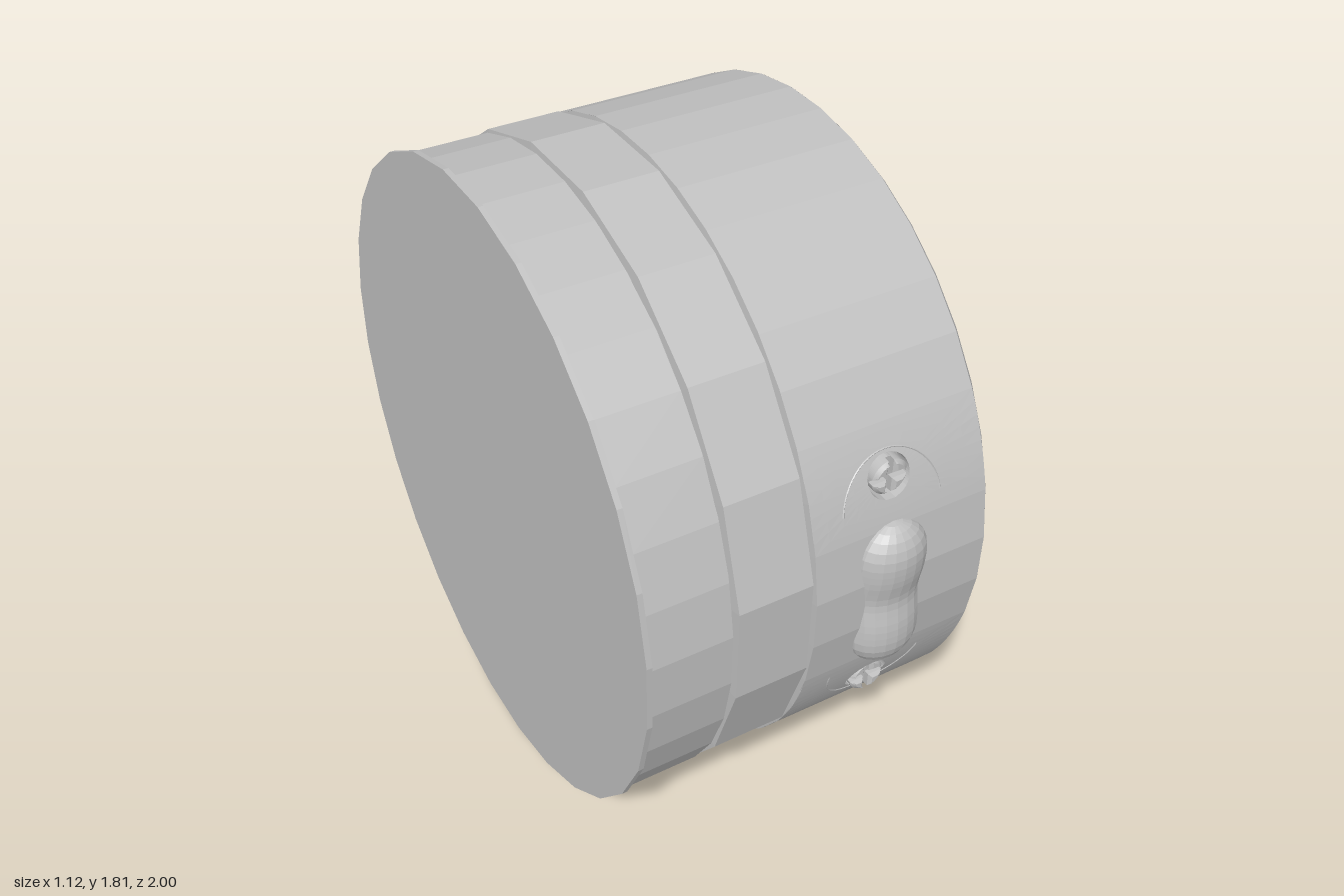
import * as THREE from 'three';

const R = 0.89, X0 = -0.095, X1 = 0.405, XC = 0.13;
const steel = new THREE.MeshStandardMaterial({ color: 0xc0c0c0, flatShading: true, side: THREE.DoubleSide });
steel.name = 'grey steel';

// point on the drum wall: x along the axis, t is the angle from the front towards the top
const onWall = (x, t, r = R) => new THREE.Vector3(x, r * Math.sin(t), r * Math.cos(t));

// skin through rows of points
function loft(rows) {
  const n = rows[0].length, index = [];
  for (let j = 0; j < rows.length - 1; j++)
    for (let i = 0; i < n - 1; i++) {
      const a = j * n + i, b = a + n;
      index.push(a, a + 1, b, a + 1, b + 1, b);
    }
  const g = new THREE.BufferGeometry().setFromPoints(rows.flat());
  g.setIndex(index);
  g.computeVertexNormals();
  return g;
}

// turned part along x, from [x, radius] pairs
function turned(profile, sides) {
  const pts = profile.map(([x, r]) => new THREE.Vector2(r, x));
  return new THREE.LatheGeometry(pts, sides, Math.PI / sides).rotateZ(-Math.PI / 2);
}

function ring(r, sides, start, cx = 0, cy = 0, Type = THREE.Path) {
  const pts = [];
  for (let i = 0; i < sides; i++) {
    const a = start + (i / sides) * Math.PI * 2;
    pts.push(new THREE.Vector2(cx + r * Math.cos(a), cy + r * Math.sin(a)));
  }
  return new Type(pts);
}

// curved wall patch with a round pocket; sink moves a rim point to the pocket floor
function pocketPatch(tc, half, r, sink) {
  const h = half * R, xl = X0 - XC, xr = X1 - XC;
  const corners = [[xl, -h], [xr, -h], [xr, h], [xl, h], [xl, -h]];
  const edge = [];
  for (let c = 0; c < 4; c++)
    for (let i = 0; i < 8; i++) {
      const [a, b] = [corners[c], corners[c + 1]];
      edge.push([a[0] + (b[0] - a[0]) * i / 8, a[1] + (b[1] - a[1]) * i / 8]);
    }
  edge.push(edge[0]);
  const rows = [];
  for (let k = 0; k <= 4; k++)
    rows.push(edge.map(([px, pt]) => {
      const a = Math.atan2(pt, px), f = k / 4;
      const u = px + (r * Math.cos(a) - px) * f, v = pt + (r * Math.sin(a) - pt) * f;
      return onWall(XC + u, tc + v / R);
    }));
  const floor = rows[4].map(p => sink(p.clone()));
  const centre = sink(onWall(XC, tc));
  rows.push(floor, floor.map(() => centre.clone()));
  return loft(rows);
}

// screw head facing +z, divided by slots into 2 or 4 parts
function screwHead(r, parts, gap, depth) {
  const g = new THREE.Group();
  const base = new THREE.Mesh(new THREE.CylinderGeometry(r, r, depth * 0.6, 20).rotateX(Math.PI / 2), steel);
  base.name = 'screwBase';
  base.position.z = depth * 0.3;
  g.add(base);
  const a = Math.asin(gap / r), s = new THREE.Shape();
  s.absarc(0, 0, r, a, Math.PI * 2 / parts - a, false);
  if (parts === 4) s.lineTo(gap, gap);
  const b = depth * 0.15;
  const geo = new THREE.ExtrudeGeometry(s, { depth: depth - b, bevelSize: b, bevelThickness: b, bevelOffset: -b, bevelSegments: 1, curveSegments: 8 });
  for (let i = 0; i < parts; i++) {
    const m = new THREE.Mesh(geo, steel);
    m.name = 'screwSegment';
    m.rotation.z = i * Math.PI * 2 / parts;
    g.add(m);
  }
  return g;
}

export function createModel() {
  const model = new THREE.Group(), drum = new THREE.Group();
  model.name = 'drumHousing';
  drum.name = 'drum';
  drum.position.set(0, 0.92, 0.07);
  model.add(drum);
  const add = (name, geo) => {
    const m = new THREE.Mesh(geo, steel);
    m.name = name;
    drum.add(m);
    return m;
  };

  // stacked bands with narrow grooves
  add('endPlate', turned([[-0.56, 0], [-0.56, 0.897], [-0.545, 0.897], [-0.545, 0.86]], 28));
  add('rearBand', turned([[-0.545, 0.86], [-0.545, 0.885], [-0.325, 0.885], [-0.32, 0.86]], 36));
  add('middleBand', turned([[-0.314, 0.86], [-0.31, 0.892], [-0.106, 0.892], [-0.102, 0.86]], 20));
  add('grooveCore', turned([[-0.4, 0.862], [-0.05, 0.862]], 36));
  add('frontFace', turned([[0.42, 0], [0.42, 0.872], [X1, R]], 40));
  add('frontBandEdge', turned([[X0, R], [-0.1, 0.86]], 40));

  // front band wall between the pocket patches
  const ts = Math.asin(0.337 / R), hs = 0.15, hb = 0.2, down = -Math.PI / 2;
  const arcs = [[-ts + hs, ts - hs], [ts + hs, Math.PI * 2 + down - hb], [down + hb, -ts - hs]];
  for (const [a, b] of arcs) {
    const n = Math.ceil((b - a) / 0.16), lo = [], hi = [];
    for (let i = 0; i <= n; i++) {
      const t = a + (b - a) * i / n;
      lo.push(onWall(X0, t));
      hi.push(onWall(X1, t));
    }
    add('bandWall', loft([lo, hi]));
  }

  // cross screws in front pockets
  for (const s of [1, -1]) {
    add('frontPocket', pocketPatch(s * ts, hs, 0.06, p => p.setZ(0.775)));
    const screw = screwHead(0.05, 4, 0.008, 0.06);
    screw.name = 'crossScrew';
    screw.position.set(XC, s * 0.337, 0.775);
    drum.add(screw);
  }

  // slotted plug underneath
  add('bottomPocket', pocketPatch(down, hb, 0.13, p => p.setY(-0.835)));
  const plug = screwHead(0.088, 2, 0.011, 0.085);
  plug.name = 'bottomPlug';
  plug.rotation.x = Math.PI / 2;
  plug.position.set(XC, -0.835, 0);
  drum.add(plug);

  // fine seam around the button panel
  const seam = [];
  for (let i = 0; i < 48; i++) {
    const a = (i / 48) * Math.PI * 2;
    const y = 0.14 * Math.sin(a) + (i < 24 ? 0.26 : -0.26);
    seam.push(onWall(XC + 0.14 * Math.cos(a), Math.asin(y / R), R - 0.001));
  }
  add('panelSeam', new THREE.TubeGeometry(new THREE.CatmullRomCurve3(seam, true), 120, 0.003, 4, true));

  // pill button with a thumb dip across the middle
  const pill = new THREE.CapsuleGeometry(0.1, 0.25, 6, 20, 12);
  const pos = pill.attributes.position;
  for (let i = 0; i < pos.count; i++) {
    const y = pos.getY(i), z = pos.getZ(i);
    const dip = z > 0 ? 0.015 * Math.exp(-((y / 0.06) ** 2)) : 0;
    pos.setZ(i, z * 0.7 - dip);
  }
  add('pillButton', pill).position.set(XC, 0, 0.86);

  // round knob on the back
  const knob = [[0.15, 0], [0.15, 0.18], [0.14, 0.215], [0.115, 0.235], [0, 0.235]].map(p => new THREE.Vector2(...p));
  add('backKnob', new THREE.LatheGeometry(knob, 24).rotateX(-Math.PI / 2)).position.set(XC, 0, -0.835);

  // mounting boss with a bore and five bolt holes
  const boss = ring(0.625, 13, Math.PI / 2, 0, 0, THREE.Shape);
  boss.holes.push(ring(0.31, 12, 0));
  for (const deg of [45, 135, 180, 225, 315]) {
    const a = THREE.MathUtils.degToRad(deg);
    boss.holes.push(ring(0.045, 14, 0, 0.5 * Math.cos(a), 0.5 * Math.sin(a)));
  }
  const b = 0.012;
  add('mountingBoss', new THREE.ExtrudeGeometry(boss, {
    depth: 0.123, bevelSize: b, bevelThickness: b, bevelOffset: -b, bevelSegments: 1,
  }).rotateY(Math.PI / 2)).position.x = 0.42;

  return model;
}
